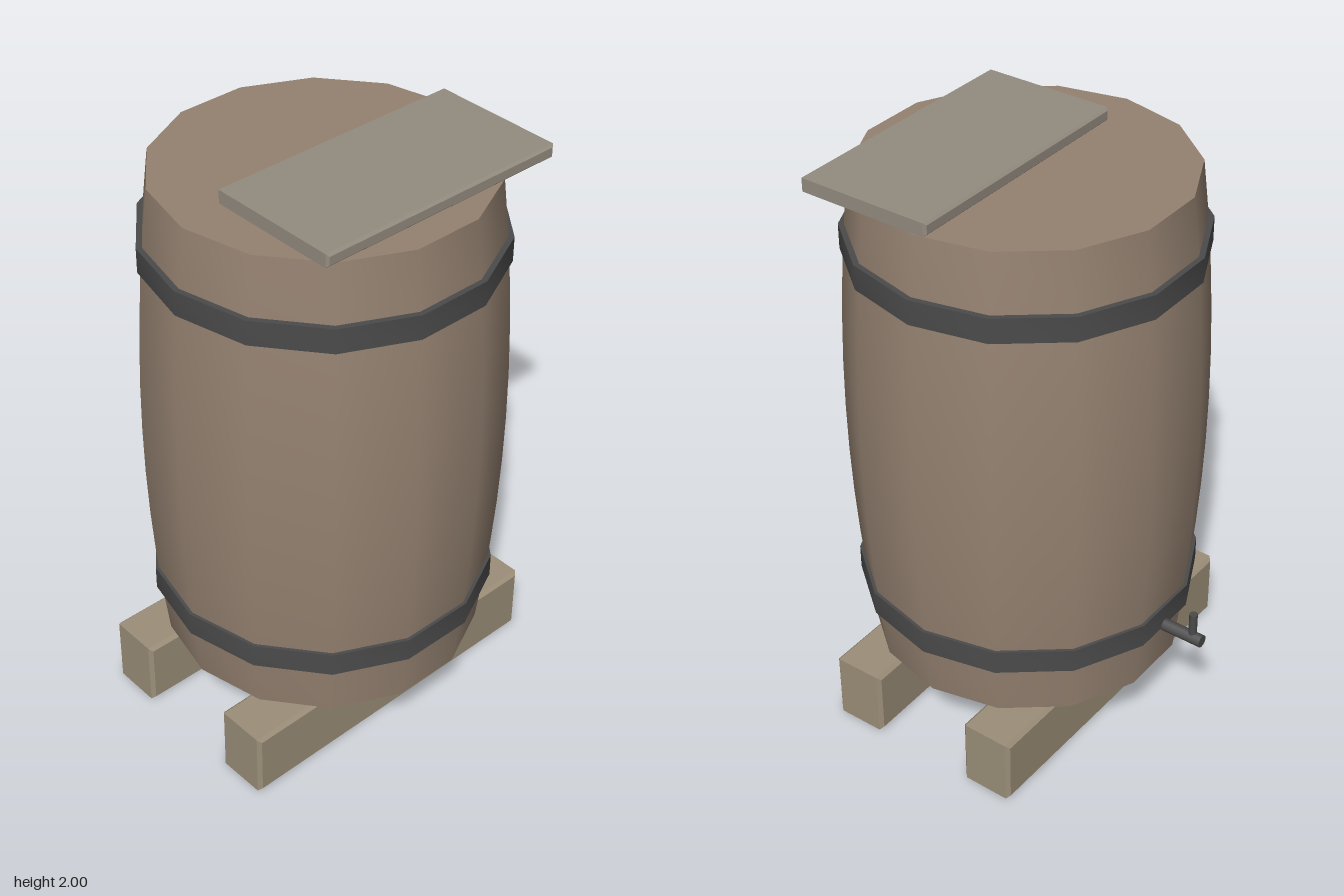
import * as THREE from 'three';
import { toCreasedNormals } from 'three/addons/utils/BufferGeometryUtils.js';

const SIDES = 14;
const BARREL_Z = 0.065;

const wood = new THREE.MeshStandardMaterial({ color: 0x958271 });
const beamWood = new THREE.MeshStandardMaterial({ color: 0x9c8f79 });
const plankWood = new THREE.MeshStandardMaterial({ color: 0x948c80 });
const iron = new THREE.MeshStandardMaterial({ color: 0x4b4b4b });

function addMesh(parent, name, geometry, material, x = 0, y = 0, z = 0) {
  const mesh = new THREE.Mesh(geometry, material);
  mesh.name = name;
  mesh.position.set(x, y, z);
  parent.add(mesh);
  return mesh;
}

// Revolved profile: smooth around the staves, sharp at the rims
function turned(profile) {
  const points = profile.map(([r, y]) => new THREE.Vector2(r, y));
  return toCreasedNormals(new THREE.LatheGeometry(points, SIDES, Math.PI / SIDES), 0.6);
}

// Block with small chamfers on all edges, centred on the origin
function chamferedBlock(w, h, d, c) {
  const x = w / 2 - c, y = h / 2 - c;
  const shape = new THREE.Shape([
    new THREE.Vector2(-x, -y), new THREE.Vector2(x, -y),
    new THREE.Vector2(x, y), new THREE.Vector2(-x, y),
  ]);
  const geometry = new THREE.ExtrudeGeometry(shape, {
    depth: d - 2 * c, bevelEnabled: true, bevelSize: c, bevelThickness: c, bevelSegments: 1,
  });
  return geometry.translate(0, 0, -(d - 2 * c) / 2);
}

export function createModel() {
  const model = new THREE.Group();
  model.name = 'barrelOnBeams';

  // Bulging body with closed flat ends
  const bottom = 0.24, top = 1.955, steps = 10;
  const profile = [[0, bottom]];
  for (let i = 0; i <= steps; i++) {
    const t = i / steps;
    profile.push([0.53 + 0.055 * (1 - (2 * t - 1) ** 2), bottom + (top - bottom) * t]);
  }
  profile.push([0, top]);
  addMesh(model, 'barrelBody', turned(profile), wood, 0, 0, BARREL_Z);

  // Iron hoops
  for (const [name, y] of [['lowerHoop', 0.473], ['upperHoop', 1.72]]) {
    const h = 0.042;
    const ring = turned([[0.535, -h], [0.57, -h], [0.57, h], [0.535, h]]);
    addMesh(model, name, ring, iron, 0, y, BARREL_Z);
  }

  // Loose plank lying on the lid
  addMesh(model, 'lidPlank', chamferedBlock(0.895, 0.045, 0.465, 0.008), plankWood, 0.0775, 1.9775, 0.2575);

  // Two supporting beams, each slightly askew
  for (const [name, z, turn] of [['frontBeam', 0.337, 0.008], ['backBeam', -0.21, -0.008]]) {
    const beam = addMesh(model, name, chamferedBlock(1.2, 0.235, 0.185, 0.012), beamWood, 0, 0.1175, z);
    beam.rotation.y = turn;
  }

  // Tap at the back: spout and upright handle
  const tap = new THREE.Group();
  tap.name = 'tap';
  tap.position.set(0, 0.434, 0);
  const spout = new THREE.CylinderGeometry(0.022, 0.022, 0.2, 12).rotateX(Math.PI / 2);
  addMesh(tap, 'tapSpout', spout, iron, 0, 0, -0.535);
  addMesh(tap, 'tapHandle', new THREE.CylinderGeometry(0.014, 0.014, 0.1, 10), iron, 0, 0.048, -0.598);
  model.add(tap);

  return model;
}
